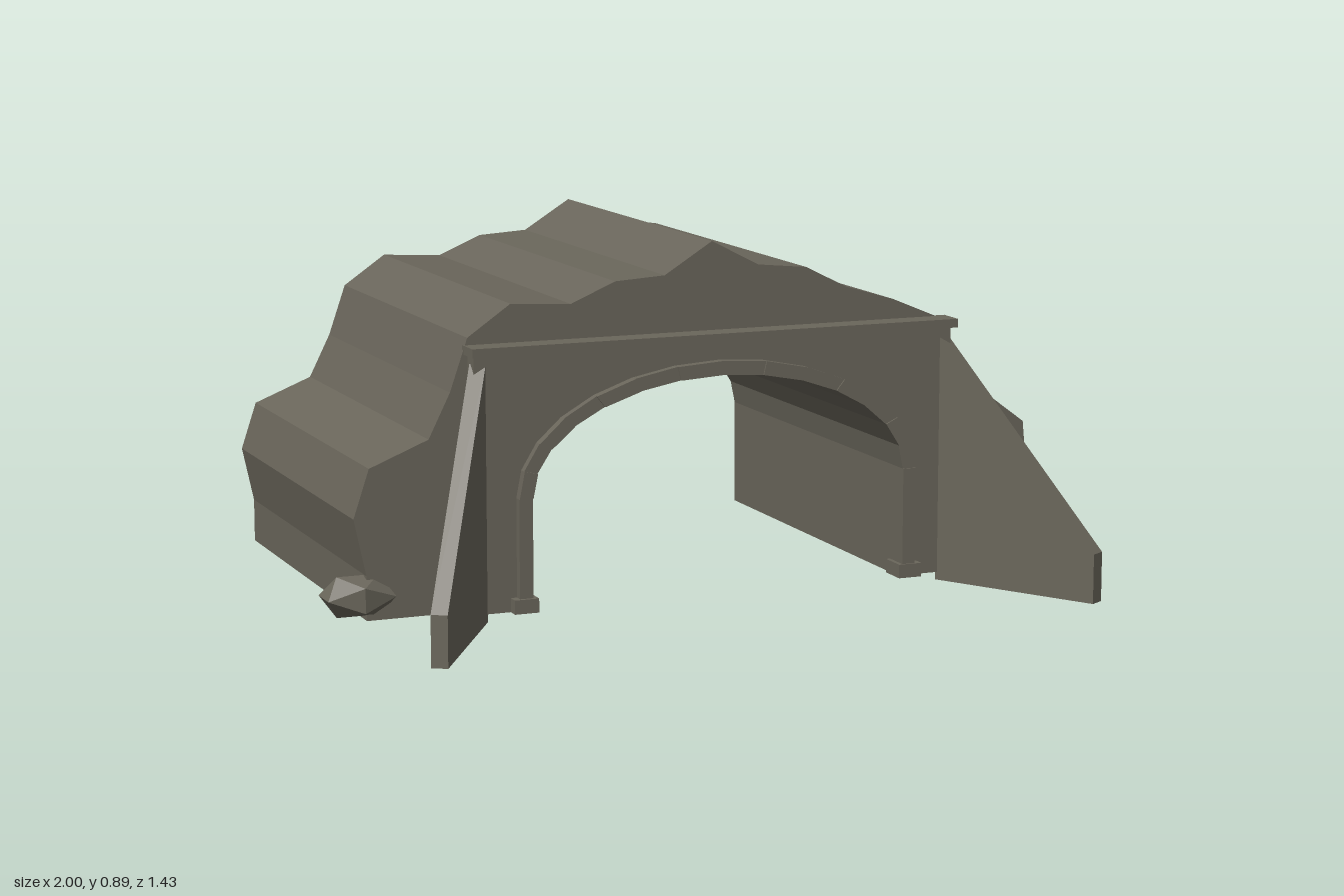
import * as THREE from 'three';

const stone = new THREE.MeshStandardMaterial({ color: 0x6a665b });
stone.name = 'weatheredStone';

const CX = -0.005; // centreline of the portal
const SPRING = 0.3; // height where the arch begins to curve
const BASE = 0.02;
const STEPS = 14;

// point on an arch of half width a and rise b
function archPoint(a, b, t) {
  return new THREE.Vector2(CX + a * Math.cos(t), SPRING + b * Math.sin(t));
}

// arch from the right foot, over the crown, to the left foot
function archLine(a, b) {
  const pts = [new THREE.Vector2(CX + a, BASE)];
  for (let i = 0; i <= STEPS; i++) pts.push(archPoint(a, b, (Math.PI * i) / STEPS));
  pts.push(new THREE.Vector2(CX - a, BASE));
  return pts;
}

function add(parent, name, geometry) {
  const mesh = new THREE.Mesh(geometry, stone);
  mesh.name = name;
  parent.add(mesh);
  return mesh;
}

function slab(points, z0, z1) {
  const g = new THREE.ExtrudeGeometry(new THREE.Shape(points), { depth: z1 - z0, bevelEnabled: false });
  return g.translate(0, 0, z0);
}

const box = (x0, x1, y0, y1, z0, z1) =>
  new THREE.BoxGeometry(x1 - x0, y1 - y0, z1 - z0).translate((x0 + x1) / 2, (y0 + y1) / 2, (z0 + z1) / 2);

export function createModel() {
  const model = new THREE.Group();
  model.name = 'tunnelPortal';

  // rocky hill with the tunnel bored through it
  const ridge = [
    [-0.9, BASE], [-0.9, 0.13], [-0.93, 0.27], [-0.89, 0.39], [-0.74, 0.45], [-0.685, 0.56], [-0.64, 0.69],
    [-0.53, 0.766], [-0.375, 0.757], [-0.26, 0.806], [-0.13, 0.814], [-0.005, 0.892], [0.12, 0.828],
    [0.25, 0.815], [0.36, 0.76], [0.49, 0.722], [0.61, 0.672], [0.75, 0.47], [0.865, 0.385],
    [0.877, 0.26], [0.962, 0.125], [0.962, BASE],
  ].map(([x, y]) => new THREE.Vector2(x, y));
  add(model, 'hill', slab([...ridge, ...archLine(0.495, 0.27)], -0.71, 0.28));

  // flat portal wall and its coping
  const wall = [[-0.64, BASE], [-0.64, 0.65], [0.63, 0.65], [0.63, BASE]].map(([x, y]) => new THREE.Vector2(x, y));
  add(model, 'portalWall', slab([...wall, ...archLine(0.515, 0.295)], 0.28, 0.325));
  add(model, 'coping', box(-0.65, 0.64, 0.65, 0.672, 0.27, 0.345));

  // arch ring of separate stones, every other one slightly proud
  const ring = new THREE.Group();
  ring.name = 'archRing';
  model.add(ring);
  const inner = archLine(0.495, 0.27);
  const outer = archLine(0.53, 0.305);
  for (let i = 0; i < inner.length - 1; i++) {
    const front = i % 2 ? 0.346 : 0.35;
    add(ring, 'archStone', slab([inner[i], outer[i], outer[i + 1], inner[i + 1]], 0.28, front));
  }

  for (const side of [-1, 1]) {
    // foot block under each end of the ring
    const x = CX + side * 0.515;
    add(model, 'footBlock', box(x - 0.031, x + 0.031, BASE, 0.055, 0.28, 0.355));

    // splayed wing wall with sloping top
    const profile = [[0, 0], [0.46, 0], [0.46, 0.125], [0, 0.63]].map(([u, v]) => new THREE.Vector2(u, v));
    const wing = add(model, 'wingWall', slab(profile, -0.02, 0.02));
    wing.position.set(CX + side * 0.62, 0, 0.31);
    wing.rotation.y = -Math.atan2(0.39, side * 0.233);
  }

  // loose boulders: position, then half extents
  const boulders = [
    [-0.915, 0.078, 0.255, 0.085, 0.05, 0.065],
    [0.93, 0.088, 0.07, 0.07, 0.058, 0.07],
    [0.75, 0.075, 0.24, 0.07, 0.045, 0.05],
  ];
  for (const [x, y, z, sx, sy, sz] of boulders) {
    const g = new THREE.IcosahedronGeometry(1, 0);
    g.scale(sx / 0.851, sy / 0.851, sz / 0.851);
    add(model, 'boulder', g).position.set(x, y, z);
  }

  return model;
}
